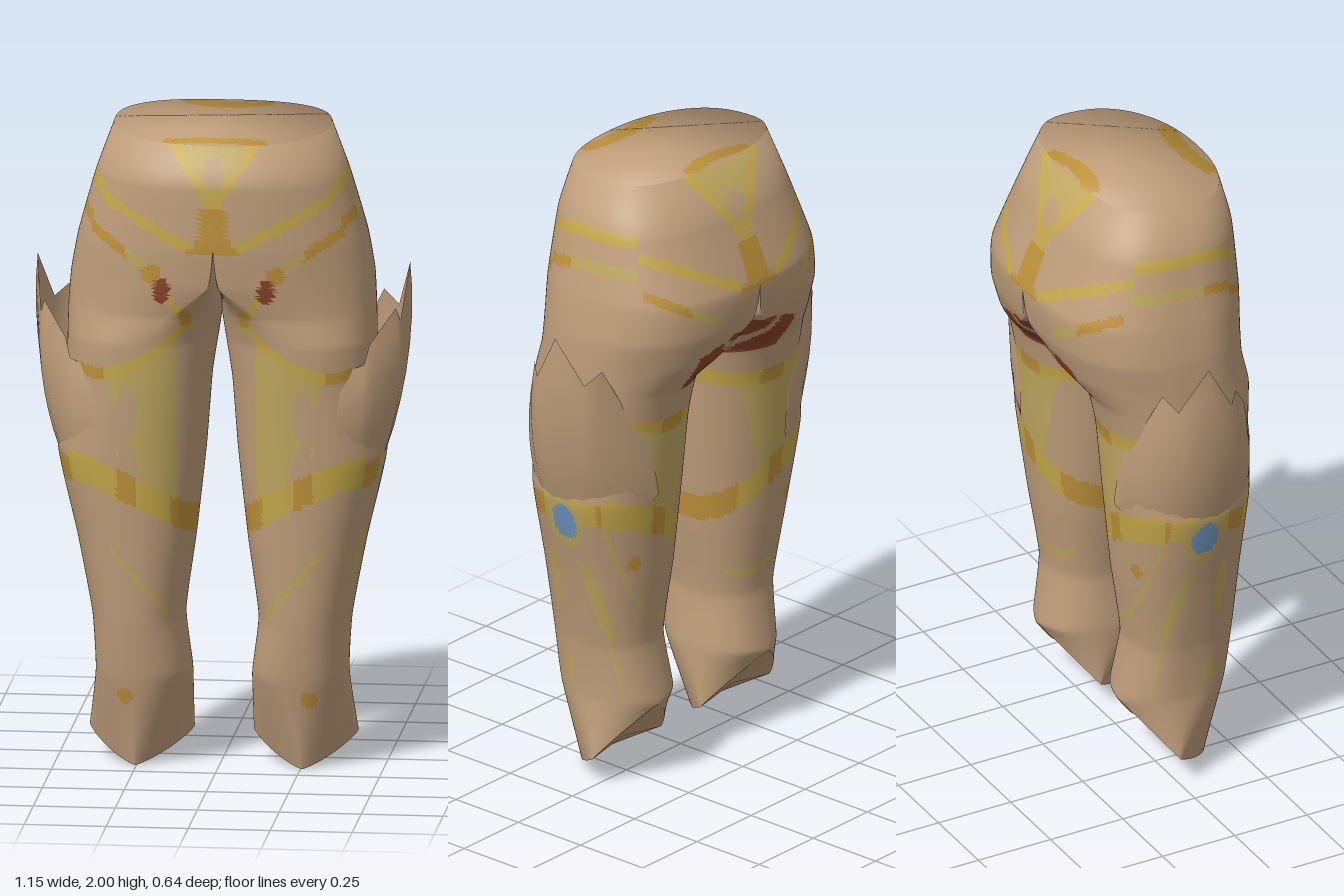
import * as THREE from 'three';

const V = (x, y, z) => new THREE.Vector3(x, y, z);
const mat = (name, color) => new THREE.MeshStandardMaterial({ name, color, side: THREE.DoubleSide });
const CLOTH = 0, PALE = 1, YELLOW = 2, GOLD = 3, BLUE = 4, RED = 5;

const near = (a, b, half) => Math.abs(a - b) < half;
const between = (a, low, high) => a > low && a < high;
const blob = (u, v, cu, cv, ru, rv = ru) => ((u - cu) / ru) ** 2 + ((v - cv) / rv) ** 2 < 1;

// Marks shared by front and back: waist emblem, hip bands, knee band
function paintShared(x, y) {
  if (between(y, 1.63, 1.77) && x < 0.04 + 0.04 * Math.max(0, 1 - (y - 1.63) / 0.05)) return GOLD;
  if (y > 1.75) {
    const edge = (y - 1.75) * 0.68;
    if (x < edge - 0.035) return blob(x, y, 0, 1.88, 0.03, 0.05) ? CLOTH : PALE;
    if (x < edge) return YELLOW;
  }
  if (x > 0.07 && near(y, 1.61 + 0.5 * x, 0.018)) return YELLOW;
  if (x > 0.17 && near(y, 1.455 + 0.6 * x, 0.018)) return x > 0.27 ? GOLD : PALE;
  if (near(y, 0.7 + 0.9 * x - 0.8 * x * x, 0.047)) return x < 0.14 || between(x, 0.24, 0.3) ? GOLD : YELLOW;
  return CLOTH;
}

// Groin, thigh panel, shin line and ankle stud
function paintFront(x, y) {
  if (blob(x, y, 0.16, 1.51, 0.025, 0.04)) return RED;
  if (blob(x, y, 0.19, 1.56, 0.03) || blob(x, y, 0.09, 1.42, 0.02, 0.03)) return GOLD;
  if (between(y, 1.38, 1.56) && near(x, 0.13 + 0.6 * (y - 1.47), 0.014)) return YELLOW;
  const garter = 1.24 + 2.2 * (x - 0.36) ** 2;
  if (x > 0.09 && near(y, garter, 0.018)) return x > 0.34 ? GOLD : YELLOW;
  const band = paintShared(x, y);
  if (band) return band;
  if (blob(x, y, 0.27, 1.12, 0.035, 0.08)) return CLOTH;
  if (between(y, 0.85, garter) && between(x, 0.12, 0.2 + 0.38 * (y - 0.87))) return PALE;
  if (between(x, 0.15, 0.32) && near(y, 0.3 + 1.22 * x, 0.014)) return PALE;
  return blob(x, y, 0.28, 0.225, 0.025) ? GOLD : CLOTH;
}

// Seat patches, thigh panel and calf line
function paintBack(x, y) {
  if (between(y, 1.32, 1.49) && between(x, 0.01, 0.22) && !near(x, 0.09 + 0.5 * (y - 1.42), 0.018)
    && y < 1.53 - 0.4 * x) return RED;
  if (near(y, 1.21 + 0.7 * (x - 0.22) ** 2, 0.025)) return between(x, 0.18, 0.28) ? GOLD : YELLOW;
  const band = paintShared(x, y);
  if (band) return band;
  if (between(y, 0.88, 1.2) && near(x, 0.24, 0.04 + 0.27 * (y - 0.88))) return PALE;
  if (x > 0.14 && near(y, 0.53 + 6 * (x - 0.2) ** 2, 0.014)) return PALE;
  return blob(x, y, 0.35, 0.76, 0.022) ? GOLD : CLOTH;
}

// Hip bands, blue knee disc and lower leg lines
function paintSide(z, y) {
  const hip = 1.835 - 1.2 * Math.max(0, z - 0.02) ** 2;
  if (near(y, hip, 0.018)) return YELLOW;
  if (near(y, hip - 0.1, 0.016)) return z > 0.08 ? GOLD : PALE;
  if (blob(z, y, 0.045, 0.9, 0.045, 0.06)) return BLUE;
  if (blob(z, y, 0.045, 0.91, 0.07, 0.1)) return PALE;
  if (near(y, 0.95 - 1.2 * (z - 0.03) ** 2, 0.04)) return near(Math.abs(z - 0.03), 0.13, 0.035) ? GOLD : YELLOW;
  if (blob(z, y, 0.18, 0.23, 0.025)) return GOLD;
  if (blob(z, y, 0.13, 0.67, 0.022, 0.11) || blob(z, y, 0.11, 0.36, 0.02, 0.05)) return PALE;
  return between(y, 0.3, 0.76) && near(z, 0.2 * y - 0.15, 0.02) ? PALE : CLOTH;
}

// Ends of the emblems on the waist
function paintTop(x, z) {
  return near(z, -0.12 - 2 * x * x, 0.03) && x < 0.14 || near(z, 0.235 + x * x, 0.027) && x < 0.16 ? GOLD : CLOTH;
}

// Colour of a face from its centre and normal, alike on both halves
function paint(c, n) {
  const x = Math.abs(c.x);
  if (n.y > 0.9 && c.y > 1.9) return paintTop(x, c.z);
  if (n.x * Math.sign(c.x) > 0.78) return paintSide(c.z, c.y);
  return n.z > 0 ? paintFront(x, c.y) : paintBack(x, c.y);
}
const plain = () => CLOTH;

// Skin a list of rings (top to bottom), with one material group per painted colour
function skin(rings, closed, painter) {
  const n = rings[0].length, pts = rings.flat(), buckets = [[], [], [], [], [], []];
  const face = (i, j, k) => {
    const tri = new THREE.Triangle(pts[i], pts[j], pts[k]);
    buckets[painter(tri.getMidpoint(V()), tri.getNormal(V()))].push(i, j, k);
  };
  for (let i = 0; i < rings.length - 1; i++) {
    for (let j = 0; j < (closed ? n : n - 1); j++) {
      const a = i * n + j, b = i * n + (j + 1) % n;
      face(a, b, a + n);
      face(b, b + n, a + n);
    }
  }
  const g = new THREE.BufferGeometry().setFromPoints(pts);
  g.setIndex(buckets.flat());
  let start = 0;
  buckets.forEach((b, m) => {
    if (b.length) g.addGroup(start, b.length, m);
    start += b.length;
  });
  g.computeVertexNormals();
  return g;
}

// Adjust each normal by a rule, to shade smoothly across joins
function smoothJoin(g, rule) {
  const { position, normal } = g.attributes, p = V(), n = V();
  for (let i = 0; i < position.count; i++) {
    rule(p.fromBufferAttribute(position, i), n.fromBufferAttribute(normal, i));
    n.normalize();
    normal.setXYZ(i, n.x, n.y, n.z);
  }
  return g;
}
const bodyNormal = (p, n) => {
  if (Math.abs(p.x) < 1e-4) n.x = 0;
  n.y += 5 * Math.max(0, p.y - 1.83);
};
const waistNormal = (p, n) => n.set(2.4 * p.x, 0.8, 2.4 * (p.z - 0.06));

// Rows through the key rings, slightly rounded at each key
function refine(keys, rows) {
  const curves = keys[0].map((_, j) => new THREE.CatmullRomCurve3(keys.map(k => k[j]), false, 'catmullrom', 0.25));
  return Array.from({ length: rows + 1 }, (_, i) => curves.map(cv => cv.getPoint(i / rows)));
}
// Concentric rings from the rim to its centre
function capRings(rim, steps) {
  const mid = rim.reduce((s, p) => s.add(p), V()).divideScalar(rim.length);
  return Array.from({ length: steps + 1 }, (_, i) => rim.map(p => p.clone().lerp(mid, i / steps * 0.999)));
}
const power = (v, e) => Math.sign(v) * Math.abs(v) ** e;
// Section around x = mid, reaching from inner to outer; yRule places each point in height
function section(mid, inner, outer, cz, zf, zb, ef, eb, yRule) {
  return Array.from({ length: 120 }, (_, j) => {
    const t = j / 120 * Math.PI * 2, co = Math.cos(t), si = Math.sin(t), e = si > 0 ? ef : eb;
    const z = cz + power(si, e) * (si > 0 ? zf - cz : cz - zb);
    return V(mid + power(co, e) * (co > 0 ? outer - mid : mid - inner), yRule(z), z);
  });
}
const mirror = ring => ring.map(p => V(-p.x, p.y, p.z)).reverse();

export function createModel() {
  const model = new THREE.Group();
  model.name = 'armouredTrousers';
  const mats = [mat('tanCloth', 0xbd9c78), mat('paleYellow', 0xbda65e), mat('yellow', 0xc4a748),
    mat('gold', 0xbb9039), mat('blue', 0x6f95c0), mat('rustRed', 0x8a4428)];
  const add = (name, geometry) => {
    const m = new THREE.Mesh(geometry, mats);
    m.name = name;
    model.add(m);
  };

  // Half of the hips running into a leg: [y, middle x, inner x, outer x, front z, back z]
  const keys = [[1.98, 0, 0, 0.33, 0.29, -0.17], [1.83, 0, 0, 0.385, 0.32, -0.24],
    [1.64, 0, 0, 0.438, 0.325, -0.318], [1.52, 0.02, 0, 0.46, 0.315, -0.308], [1.42, 0.15, 0, 0.468, 0.29, -0.265],
    [1.33, 0.245, 0.012, 0.47, 0.29, -0.2], [1.2, 0.25, 0.032, 0.475, 0.285, -0.17],
    [0.97, 0.27, 0.05, 0.5, 0.275, -0.155], [0.7, 0.26, 0.08, 0.44, 0.26, -0.13],
    [0.46, 0.253, 0.112, 0.395, 0.245, -0.1], [0.28, 0.24, 0.092, 0.385, 0.222, -0.128]]
    .map(([y, mid, inner, outer, zf, zb], i) => section(mid, inner, outer, 0.045, zf, zb, 0.9, y > 1.5 ? 0.75 : 0.9,
      z => i ? y : 1.96 + (0.29 - z) * 0.087));
  // pointed hem, rising towards the back
  keys.push(section(0.255, 0.09, 0.41, 0, 0.165, -0.13, 1.6, 1.6,
    z => z > 0 ? 0.09 * (1 - z / 0.165) : 0.09 - 1.31 * z));
  const half = refine(keys, 187);
  const waist = capRings(half[0], 20).reverse();
  const hem = capRings(half[187], 4);

  // Jagged side guards: [z, y] along the top edge from back to front, curling away from the leg
  const crown = [[-0.165, 0.99], [-0.155, 1.21], [-0.135, 1.27], [-0.1, 1.44], [-0.07, 1.4], [0.01, 1.55],
    [0.1, 1.39], [0.12, 1.43], [0.19, 1.33], [0.2, 1.27], [0.24, 1.25], [0.28, 0.99]];
  const columns = crown.map(([z, y], i) => {
    const a = THREE.MathUtils.degToRad(-80 + 160 * i / (crown.length - 1));
    const spread = Math.abs(z - 0.01) / (z > 0.01 ? 0.27 : 0.175);
    const top = V(0.29 + 0.278 * (1 - spread ** 2.4), y, z);
    const base = V(0.27 + 0.225 * Math.cos(a), 0.96, 0.055 + 0.21 * Math.sin(a));
    return Array.from({ length: 8 }, (_, k) => {
      const t = k / 7, bulge = 0.055 * Math.max(0, Math.sin(Math.PI * t)) ** 0.8 * (y - 0.96);
      return top.clone().lerp(base, t).add(V(Math.cos(a) * bulge, 0, Math.sin(a) * bulge));
    });
  });
  const guard = columns[0].map((_, k) => columns.map(c => c[k]));

  for (const [side, flip] of [['left', r => r], ['right', mirror]]) {
    add(side + 'HipAndLeg', smoothJoin(skin(half.map(flip), true, paint), bodyNormal));
    add(side + 'Waist', smoothJoin(skin(waist.map(flip), true, paint), waistNormal));
    add(side + 'Hem', skin(hem.map(flip), true, plain));
    add(side + 'SideGuard', skin(guard.map(flip), false, plain));
  }
  return model;
}
